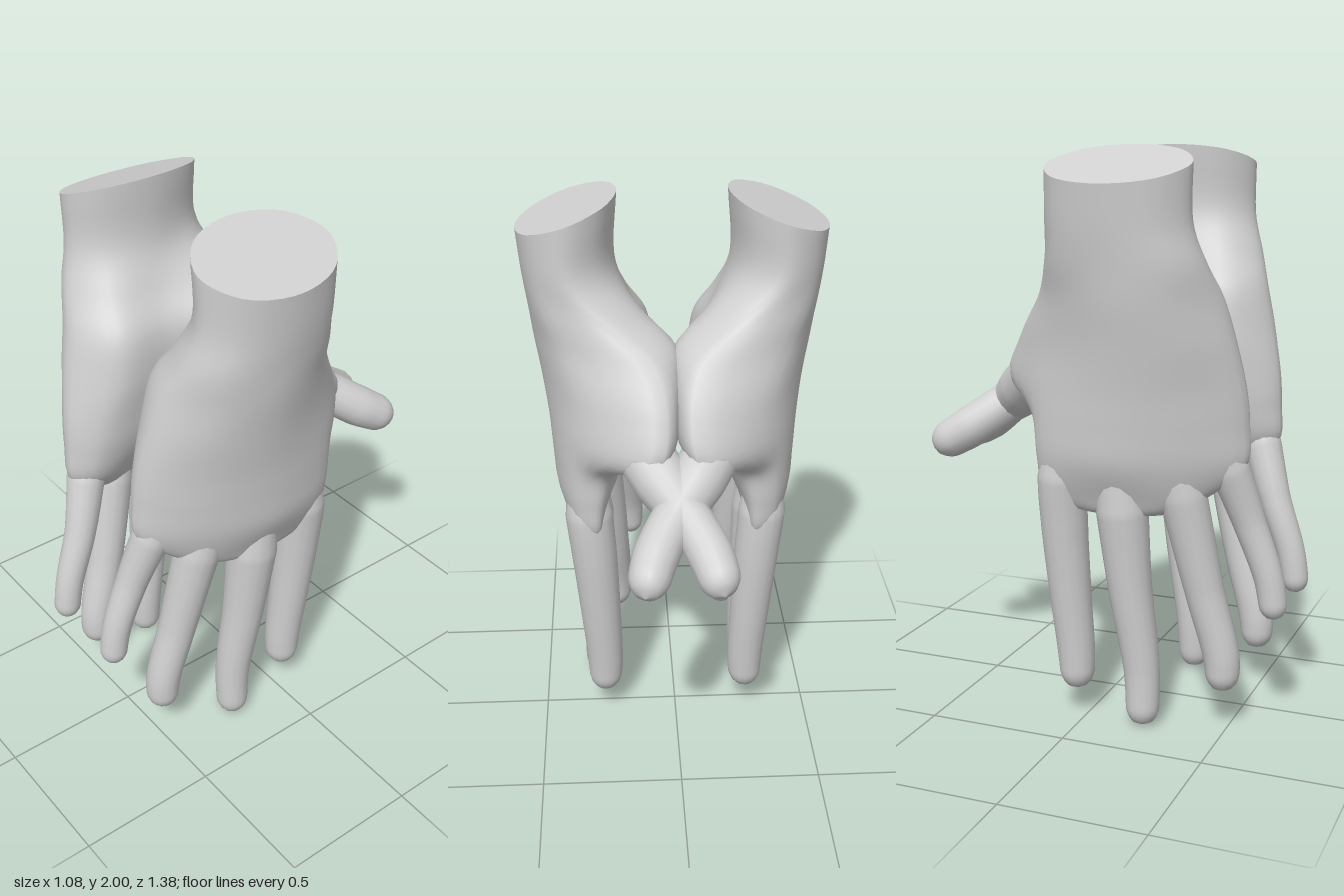
import * as THREE from 'three';
import { mergeVertices } from 'three/addons/utils/BufferGeometryUtils.js';

const skin = new THREE.MeshStandardMaterial({ color: 0xd0d0d0 });
skin.name = 'plain grey';

const V = (x, y, z) => new THREE.Vector3(x, y, z);
const SIDES = 40, ROWS = 54;

// Wrist cross-section, an ellipse whose height follows a slope across x
function wristRing(y, cx, rx, rz, slope) {
  return Array.from({ length: 8 }, (_, k) => {
    const a = k * Math.PI / 4, x = cx + rx * Math.cos(a);
    return V(x, y - slope * (x - cx), 0.15 + rz * Math.sin(a));
  });
}

// Palm cross-sections: y, then x,z pairs around from the back of the hand,
// past the little-finger edge, the palm and the thumb edge
const palmRings = [
  [1.62, .51, .15, .46, .36, .33, .44, .18, .36, .15, .17, .12, -.03, .23, -.14, .44, -.06],
  [1.50, .495, .15, .44, .37, .27, .48, .10, .39, .09, .18, -.01, -.08, .08, -.22, .385, -.10],
  [1.35, .47, .14, .41, .39, .24, .52, .08, .41, .08, .17, -.01, -.09, .04, -.32, .33, -.175],
  [1.20, .45, .13, .39, .38, .22, .55, .095, .45, .09, .18, .01, -.09, .07, -.375, .35, -.17],
  [1.08, .44, .12, .37, .39, .21, .56, .11, .47, .13, .18, .17, -.06, .24, -.19, .36, -.155],
  [0.95, .425, .12, .355, .38, .21, .555, .14, .47, .2, .17, .23, -.05, .27, -.17, .365, -.14],
  [0.83, .375, .14, .325, .35, .26, .42, .23, .36, .265, .17, .26, -.03, .28, -.15, .345, -.12],
];

// Smooth grid of points through all the sections, wrist to knuckles
function palmGrid() {
  const rings = [wristRing(1.94, .365, .175, .25, .343), wristRing(1.75, .3625, .1625, .253, .1)];
  for (const [y, ...p] of palmRings)
    rings.push(Array.from({ length: 8 }, (_, k) => V(p[2 * k], y, p[2 * k + 1])));
  const mid = V(.31, .77, .14);
  rings.push(rings.at(-1).map(p => p.clone().lerp(mid, .4).setY(.775)));
  rings.push(rings.at(-1).map(p => p.clone().lerp(mid, .95).setY(.765)));
  const loops = rings.map(r => new THREE.CatmullRomCurve3(r, true));
  const columns = Array.from({ length: SIDES }, (_, j) =>
    new THREE.CatmullRomCurve3(loops.map(l => l.getPoint(j / SIDES))));
  return Array.from({ length: ROWS + 1 }, (_, i) => columns.map(c => c.getPoint(i / ROWS)));
}

function meshData(points, index) {
  const g = new THREE.BufferGeometry().setFromPoints(points);
  g.setIndex(index);
  g.computeVertexNormals();
  return g;
}

function palmGeometry(grid) {
  const index = [];
  for (let i = 0; i < ROWS; i++)
    for (let j = 0; j < SIDES; j++) {
      const a = i * SIDES + j, b = i * SIDES + (j + 1) % SIDES;
      index.push(a, b, a + SIDES, b, b + SIDES, a + SIDES);
    }
  return meshData(grid.flat(), index);
}

// Flat cut across the wrist
function wristCutGeometry(ring) {
  const centre = ring.reduce((s, p) => s.add(p), V(0, 0, 0)).divideScalar(SIDES);
  const index = [];
  for (let j = 0; j < SIDES; j++) index.push(SIDES, (j + 1) % SIDES, j);
  return meshData([...ring, centre], index);
}

// Tapered, round-tipped digit along a path of [x, y, z, radius]
function digitGeometry(path) {
  const N = 64, M = 16;
  const curve = new THREE.CatmullRomCurve3(path.map(p => V(p[0], p[1], p[2])));
  const length = curve.getLength();
  const tipStart = 1 - path.at(-1)[3] * 1.2 / length;
  const g = new THREE.TubeGeometry(curve, N, 1, M);
  const pos = g.attributes.position, p = V(0, 0, 0);
  for (let i = 0; i <= N; i++) {
    const u = i / N, c = curve.getPointAt(u);
    const s = curve.getUtoTmapping(u) * (path.length - 1);
    const k = Math.min(Math.floor(s), path.length - 2);
    let r = THREE.MathUtils.lerp(path[k][3], path[k + 1][3], s - k);
    if (u > tipStart) r *= Math.sqrt(Math.max(0.0004, 1 - ((u - tipStart) / (1 - tipStart)) ** 2));
    for (let j = 0; j <= M; j++) {
      const v = i * (M + 1) + j;
      p.fromBufferAttribute(pos, v).sub(c).multiplyScalar(r).add(c);
      pos.setXYZ(v, p.x, p.y, p.z);
    }
  }
  g.deleteAttribute('uv');
  g.deleteAttribute('normal');
  const merged = mergeVertices(g, 1e-5);
  merged.computeVertexNormals();
  return merged;
}

// Each digit starts narrow inside the palm so that it emerges gradually
const digits = {
  littleFinger: [[.25, 1.12, .43, .05], [.205, .93, .493, .069], [.167, .74, .555, .057], [.155, .55, .622, .051], [.153, .4, .648, .048]],
  ringFinger: [[.3, 1.06, .3, .06], [.27, .84, .35, .082], [.235, .5, .42, .068], [.22, .26, .48, .063], [.22, .14, .484, .056]],
  middleFinger: [[.33, 1.04, .13, .06], [.315, .78, .148, .09], [.3, .5, .172, .076], [.285, .2, .21, .063], [.292, 0, .217, .057]],
  indexFinger: [[.32, 1.08, -.05, .05], [.312, .88, -.075, .086], [.297, .7, -.075, .082], [.28, .45, -.062, .074], [.268, .22, -.045, .066], [.27, .09, -.04, .058]],
  thumb: [[.24, 1.36, -.06, .05], [.15, 1.24, -.2, .1], [.055, 1.13, -.335, .098], [-.025, 1.05, -.44, .077], [-.09, .97, -.55, .078], [-.13, .89, -.68, .066]],
};

// Mirror across x and turn the faces round again
function mirrored(geometry) {
  const g = geometry.clone().scale(-1, 1, 1);
  const ix = g.index.array;
  for (let i = 0; i < ix.length; i += 3) [ix[i + 1], ix[i + 2]] = [ix[i + 2], ix[i + 1]];
  g.computeVertexNormals();
  return g;
}

export function createModel() {
  const model = new THREE.Group();
  model.name = 'pairOfHands';
  const grid = palmGrid();
  const parts = { palm: palmGeometry(grid), wristCut: wristCutGeometry(grid[0]) };
  for (const name in digits) parts[name] = digitGeometry(digits[name]);

  for (const side of ['left', 'right']) {
    const hand = new THREE.Group();
    hand.name = side + 'Hand';
    for (const name in parts) {
      const mesh = new THREE.Mesh(side === 'left' ? parts[name] : mirrored(parts[name]), skin);
      mesh.name = name;
      hand.add(mesh);
    }
    model.add(hand);
  }
  return model;
}
